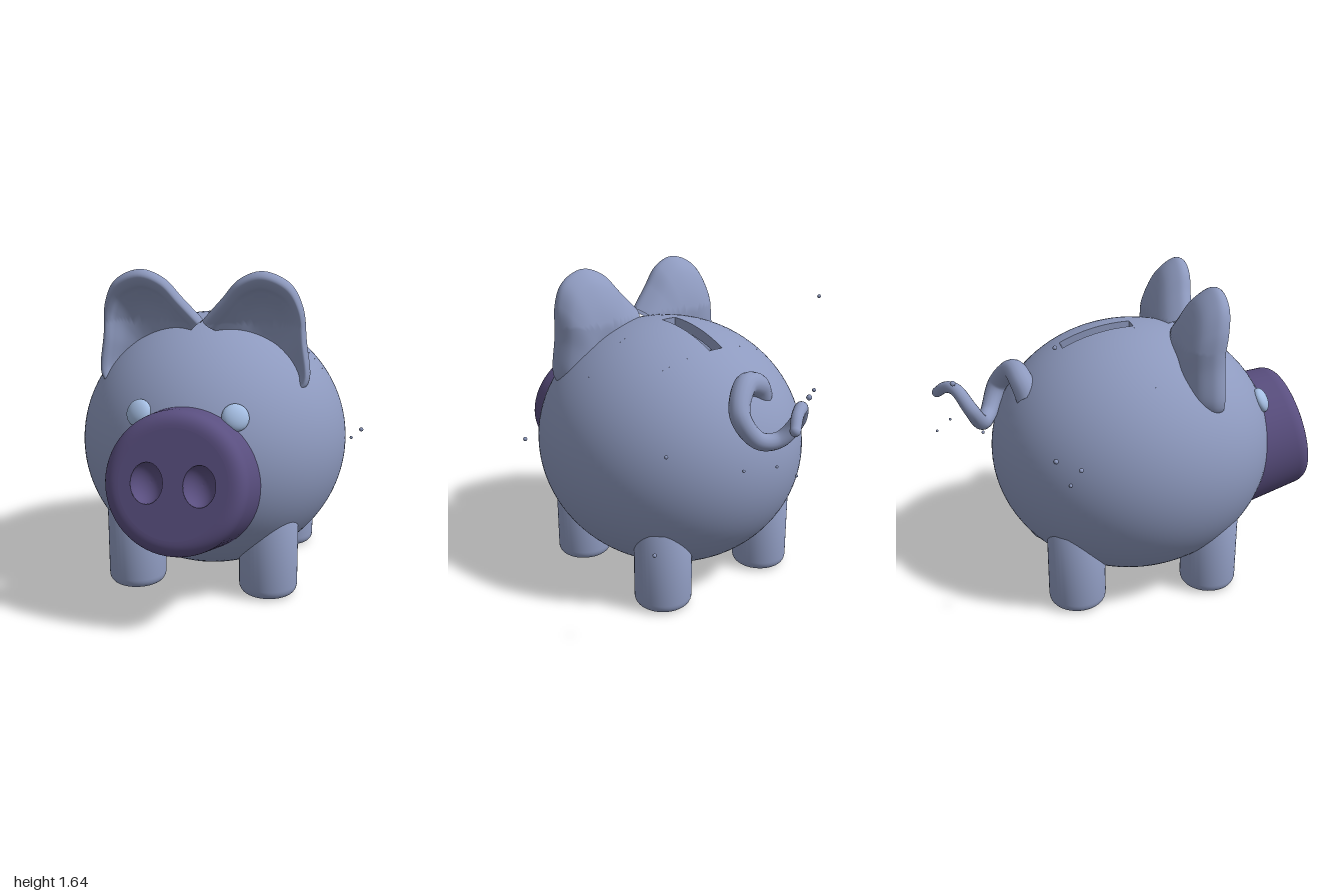
import * as THREE from 'three';
import { mergeGeometries } from 'three/addons/utils/BufferGeometryUtils.js';
import { ParametricGeometry } from 'three/addons/geometries/ParametricGeometry.js';

const V2 = (x, y) => new THREE.Vector2(x, y);
const V3 = (x, y, z) => new THREE.Vector3(x, y, z);

const BODY = { center: V3(0, 0.72, 0.03), radius: V3(0.7, 0.67, 0.75) };
const SLOT = { half: 0.061, phi: 0.515 }; // coin slot as angles on the body

function material(name, color, side = THREE.FrontSide) {
  const m = new THREE.MeshStandardMaterial({ color, side });
  m.name = name;
  return m;
}

function named(name, geometry, mat) {
  const mesh = new THREE.Mesh(geometry, mat);
  mesh.name = name;
  return mesh;
}

// Ellipsoid with its poles on the x axis, leaving out the coin slot
function slottedShell(scale) {
  const side = Math.PI / 2 - SLOT.half;
  const patch = (seg, rows, phi, phiLen, theta, thetaLen) =>
    new THREE.SphereGeometry(1, seg, rows, phi, phiLen, theta, thetaLen);
  const r = BODY.radius, c = BODY.center;
  return mergeGeometries([
    patch(88, 64, 0, Math.PI * 2 - SLOT.phi, 0, Math.PI),
    patch(8, 31, -SLOT.phi, SLOT.phi, 0, side),
    patch(8, 31, -SLOT.phi, SLOT.phi, Math.PI - side, side),
  ]).rotateZ(-Math.PI / 2)
    .scale(r.x * scale, r.y * scale, r.z * scale)
    .translate(c.x, c.y, c.z);
}

// Four walls through the thickness of the body
function slotWalls(inner) {
  const a = Math.PI / 2 - SLOT.half, b = Math.PI / 2 + SLOT.half;
  const corners = [[a, 0], [b, 0], [b, -SLOT.phi], [a, -SLOT.phi]];
  return mergeGeometries(corners.map((p, i) => {
    const q = corners[(i + 1) % 4];
    return new ParametricGeometry((u, v, t) => {
      const th = THREE.MathUtils.lerp(p[0], q[0], u);
      const ph = THREE.MathUtils.lerp(p[1], q[1], u);
      t.set(Math.cos(th), Math.cos(ph) * Math.sin(th), Math.sin(ph) * Math.sin(th))
        .multiply(BODY.radius).multiplyScalar(1 + (inner - 1) * v).add(BODY.center);
    }, 8, 1);
  }));
}

// Ear: a rolled-rim profile swept along the outline, reaching in to a buried focus
function earGeometry() {
  const outline = new THREE.CatmullRomCurve3([
    [0.42, 1.03], [0.515, 1.07], [0.535, 1.12], [0.515, 1.3], [0.495, 1.47],
    [0.435, 1.58], [0.305, 1.635], [0.19, 1.595], [0.1, 1.497], [0, 1.388],
  ].map(([x, y]) => V3(x, y, 0)));
  const profile = new THREE.SplineCurve([
    [1, -0.1], [0.7, -0.135], [0.4, -0.13], [0.15, -0.09], [0.02, -0.03], [0, 0.01],
    [0.06, 0.045], [0.15, 0.035], [0.22, 0], [0.4, -0.05], [0.7, -0.08], [1, -0.08],
  ].map(([s, z]) => V2(s, z)));
  const o = V3(), p = V2();
  return new ParametricGeometry((u, v, t) => {
    outline.getPointAt(u, o);
    profile.getPoint(v, p);
    const x = o.x + (0.28 - o.x) * p.x;
    const y = o.y + (1.15 - o.y) * p.x;
    const lean = 0.32 + 0.2 * Math.max(0, y - 1.37);
    t.set(Math.max(0, x), y, lean + p.y);
  }, 64, 48);
}

// Tapered curl
function tail(mat) {
  const group = new THREE.Group();
  group.name = 'tail';
  const curve = new THREE.CatmullRomCurve3([
    [-0.13, 1.08, -0.53], [-0.08, 1.15, -0.555], [0.03, 1.18, -0.585],
    [0.13, 1.07, -0.66], [0.06, 0.945, -0.72], [-0.04, 0.94, -0.765],
    [-0.1, 1.04, -0.82], [-0.05, 1.13, -0.88], [0.03, 1.12, -0.93], [0.085, 1.075, -0.972],
  ].map((p) => V3(...p)));
  const n = 96, sides = 16;
  const geo = new THREE.TubeGeometry(curve, n, 1, sides);
  const pos = geo.attributes.position, v = V3();
  for (let i = 0; i < pos.count; i++) {
    const u = Math.floor(i / (sides + 1)) / n;
    const c = curve.getPointAt(u);
    v.fromBufferAttribute(pos, i).sub(c).multiplyScalar(0.064 - 0.038 * u).add(c);
    pos.setXYZ(i, v.x, v.y, v.z);
  }
  const tip = named('tailTip', new THREE.SphereGeometry(0.026, 16, 12), mat);
  tip.position.copy(curve.getPoint(1));
  group.add(named('tailCurl', geo, mat), tip);
  return group;
}

// Tapered snout with rounded rim and two hollow nostrils
function snout(mat) {
  const group = new THREE.Group();
  group.name = 'snout';
  const rim = new THREE.Path().moveTo(0.375, -0.5).lineTo(0.337, -0.075)
    .quadraticCurveTo(0.33, 0, 0.255, 0);
  const side = new THREE.LatheGeometry(rim.getPoints(12), 64).rotateX(Math.PI / 2);
  group.add(named('snoutSide', side, mat));

  const disc = new THREE.Shape().absarc(0, 0, 0.255, 0, Math.PI * 2);
  const bowl = [];
  for (let i = 0; i <= 10; i++) {
    const a = (i / 10) * Math.PI / 2;
    bowl.push(V2(Math.cos(a), -Math.sin(a)));
  }
  for (const s of [-1, 1]) {
    const hole = new THREE.Path().absellipse(s * 0.122, 0, 0.075, 0.095, 0, Math.PI * 2, true);
    disc.holes.push(hole);
    const nostril = new THREE.LatheGeometry(bowl, 32).rotateX(Math.PI / 2)
      .scale(0.075, 0.095, 0.08).translate(s * 0.122, 0, 0);
    group.add(named('nostril', nostril, mat));
  }
  group.add(named('snoutFace', new THREE.ShapeGeometry(disc, 32), mat));
  group.position.set(0, 0.735, 0.943);
  group.rotation.x = -0.22;
  return group;
}

export function createModel() {
  const clay = material('blueClay', 0x8e9abf, THREE.DoubleSide);
  const purple = material('purpleSnout', 0x5a4f80);
  const pale = material('paleBlueEyes', 0xa5bee3);

  const model = new THREE.Group();
  model.name = 'piggyBank';
  const pig = new THREE.Group();
  pig.name = 'pig';
  pig.position.x = -0.045;
  model.add(pig);

  // Hollow body with coin slot
  pig.add(
    named('body', slottedShell(1), clay),
    named('bodyInside', slottedShell(0.92), clay),
    named('slotWalls', slotWalls(0.92), clay),
  );
  pig.add(snout(purple), tail(clay));

  const earGeo = earGeometry();
  const legPath = new THREE.Path().moveTo(0, 0).lineTo(0.1, 0)
    .quadraticCurveTo(0.15, 0, 0.15, 0.05).lineTo(0.15, 0.45).lineTo(0, 0.45);
  const legGeo = new THREE.LatheGeometry(legPath.getPoints(8), 40);
  const eyeGeo = new THREE.SphereGeometry(1, 24, 16).scale(0.066, 0.066, 0.036);

  for (const s of [-1, 1]) {
    const ear = named('ear', earGeo, clay);
    ear.scale.x = s;
    pig.add(ear);

    // Flattened eyes lying on the body surface
    const eye = named('eye', eyeGeo, pale);
    eye.position.set(s * 0.233, 0.99, 0.675);
    eye.lookAt(eye.position.clone().add(V3(s * 0.48, 0.6, 1.14)));
    pig.add(eye);

    for (const [name, z] of [['frontLeg', 0.375], ['backLeg', -0.35]]) {
      const leg = named(name, legGeo, clay);
      leg.position.set(s * 0.35, 0, z);
      pig.add(leg);
    }
  }

  // Loose floating specks: x, y, z, radius
  const specks = [
    [-0.645, 1.51, -0.47, 0.01], [-0.75, 0.95, -0.385, 0.011], [0.745, 0.845, 0.225, 0.011],
    [0.645, 0.54, -0.71, 0.01], [0.435, 0.91, -0.535, 0.01], [0.155, 0.84, -0.768, 0.008],
    [0.09, 0.895, -0.917, 0.007], [0.035, 0.86, -0.99, 0.007], [-0.125, 1.18, -0.897, 0.014],
    [-0.54, 0.9, -0.465, 0.012], [-0.61, 0.8, -0.41, 0.009],
  ];
  for (const [x, y, z, r] of specks) {
    const speck = named('speck', new THREE.IcosahedronGeometry(r, 1), clay);
    speck.position.set(x, y, z);
    model.add(speck);
  }
  return model;
}
